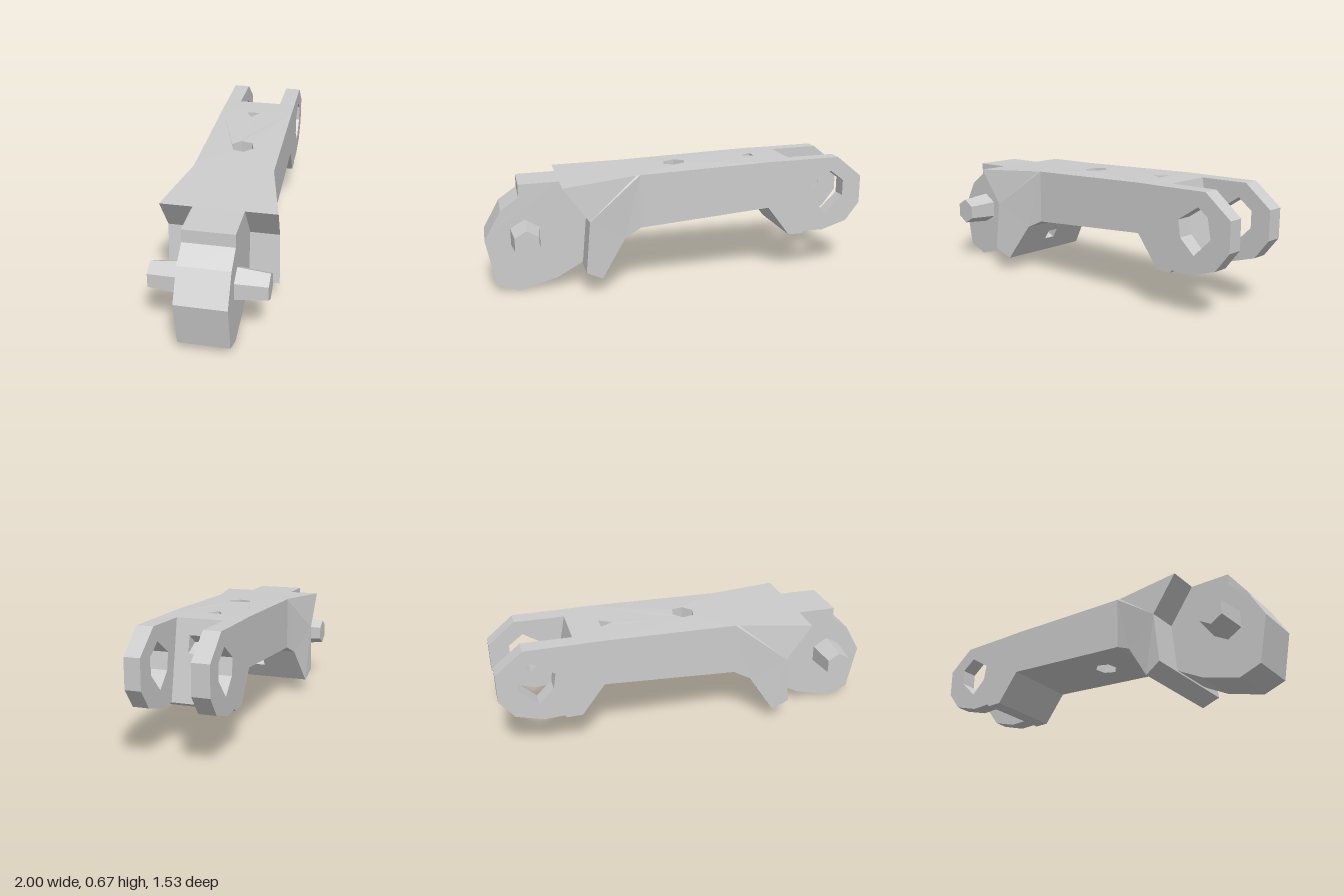
import * as THREE from 'three';

const material = new THREE.MeshStandardMaterial({ color: 0xcccccc, flatShading: true, side: THREE.DoubleSide });
const lerp = THREE.MathUtils.lerp;
const toPoints = pts => pts.map(([a, b]) => new THREE.Vector2(a, b));
const ring = (cx, cy, r, n, turn = 0) => Array.from({ length: n }, (_, i) => {
  const a = turn + (i / n) * Math.PI * 2;
  return [cx + r * Math.cos(a), cy + r * Math.sin(a)];
});

// Half width of the link along its length: flared ears, a waist, then slight drift to the fork
const WAIST = -0.28;
function halfWidth(l, side) {
  const waist = side > 0 ? 0.21 : 0.227;
  if (l < WAIST) return Math.min(0.302, waist + 0.3 * (WAIST - l));
  return lerp(waist, side > 0 ? 0.185 : 0.245, (l - WAIST) / (1.06 - WAIST));
}
const acrossBody = t => l => t * halfWidth(l, t);
const flat = w => () => w;
const topY = l => (l < 0.1 ? lerp(0.605, 0.655, (l + 0.69) / 0.79) : lerp(0.655, 0.67, (l - 0.1) / 0.8));
const underY = l => lerp(0.335, 0.395, (l + 0.26) / 0.75);

function extrude(pts, holes) {
  const shape = new THREE.Shape(toPoints(pts));
  holes.forEach(h => shape.holes.push(new THREE.Path(toPoints(h))));
  return new THREE.ExtrudeGeometry(shape, { depth: 1, bevelEnabled: false });
}
function mesh(name, geometry) {
  geometry.computeVertexNormals();
  const m = new THREE.Mesh(geometry, material);
  m.name = name;
  return m;
}
// Side profile (length, height) stretched between two width rules
function sidePart(name, pts, from, to, holes = []) {
  const g = extrude(pts, holes), p = g.attributes.position;
  for (let i = 0; i < p.count; i++) p.setZ(i, (p.getZ(i) < 0.5 ? from : to)(p.getX(i)));
  return mesh(name, g);
}
// Plan outline (length, -width) stretched between two height rules
function planPart(name, pts, bottom, top, holes = []) {
  const g = extrude(pts, holes), p = g.attributes.position;
  for (let i = 0; i < p.count; i++) {
    const l = p.getX(i), w = -p.getY(i);
    p.setXYZ(i, l, (p.getZ(i) < 0.5 ? bottom : top)(l), w);
  }
  return mesh(name, g);
}
// Profile in three slices, the middle one notched by a small passage
function slicedPart(name, pts, notchAfter, notch) {
  const group = new THREE.Group();
  group.name = name;
  const notched = [...pts.slice(0, notchAfter + 1), ...notch, ...pts.slice(notchAfter + 1)];
  [[-1, -0.13, pts], [-0.13, 0.13, notched], [0.13, 1, pts]].forEach(([a, b, outline], i) =>
    group.add(sidePart(name + 'Slice' + (i + 1), outline, acrossBody(a), acrossBody(b))));
  return group;
}

export function createModel() {
  const model = new THREE.Group();
  model.name = 'fingerLink';
  const link = new THREE.Group();
  link.name = 'link';
  link.rotation.y = 0.5585;
  model.add(link);

  // Flared ears and the leg below them
  link.add(slicedPart('flaredLeg', [
    [-0.69, 0.605], [-0.55, 0.41], [-0.577, 0.13], [-0.486, 0.08],
    [-0.351, 0.29], [-0.26, 0.335], [-0.26, topY(-0.26)], [WAIST, topY(WAIST)],
  ], 3, [[-0.428, 0.17], [-0.51, 0.2], [-0.393, 0.225]]));

  // Straight beam with a hexagonal hole and a small triangular one
  const a = -0.26, b = 0.49;
  link.add(planPart('beam', [
    [a, -halfWidth(a, 1)], [b, -halfWidth(b, 1)], [b, halfWidth(b, -1)], [a, halfWidth(a, -1)],
  ], underY, topY, [ring(-0.02, 0.01, 0.066, 6, 0.3), ring(0.44, 0.038, 0.046, 3, Math.PI)]));
  link.add(planPart('passageFloor', ring(0.44, 0.038, 0.046, 3, Math.PI), underY, flat(0.5)));

  // Lip below the fork, with the sloped wall between the arms
  link.add(slicedPart('forkLip', [
    [0.49, 0.395], [0.62, 0.225], [0.705, 0.225], [0.72, 0.24], [0.635, 0.664], [0.49, topY(0.49)],
  ], 3, [[0.67, 0.49], [0.58, 0.53], [0.652, 0.58]]));

  // Two fork arms with hexagonal eyes
  const arm = [[0.72, 0.24], [0.83, 0.238], [0.98, 0.285], [1.06, 0.39], [1.06, 0.55], [0.91, 0.67], [0.635, 0.664]];
  const eye = [[0.87, 0.59], [0.95, 0.53], [0.95, 0.44], [0.85, 0.34], [0.765, 0.42], [0.75, 0.51]];
  link.add(sidePart('frontArm', arm, flat(0.1), acrossBody(1), [eye]));
  link.add(sidePart('backArm', arm, acrossBody(-1), flat(-0.152), [eye]));

  // Rounded hinge head with its neck step
  link.add(sidePart('hingeHead', [
    [-0.69, 0.605], [-0.91, 0.6], [-0.91, 0.53], [-1.01, 0.46], [-1.1, 0.3], [-1.05, 0.045],
    [-0.93, 0], [-0.72, 0.06], [-0.6, 0.125], [-0.53, 0.17], [-0.5, 0.4],
  ], flat(-0.13), flat(0.135)));

  // Hinge pins on both sides
  for (const s of [1, -1]) {
    const g = new THREE.CylinderGeometry(0.074, 0.092, 0.18, 6).toNonIndexed();
    g.rotateX(s * Math.PI / 2);
    g.translate(-0.883, 0.315, s * 0.21);
    link.add(mesh(s > 0 ? 'frontPin' : 'backPin', g));
  }
  return model;
}
